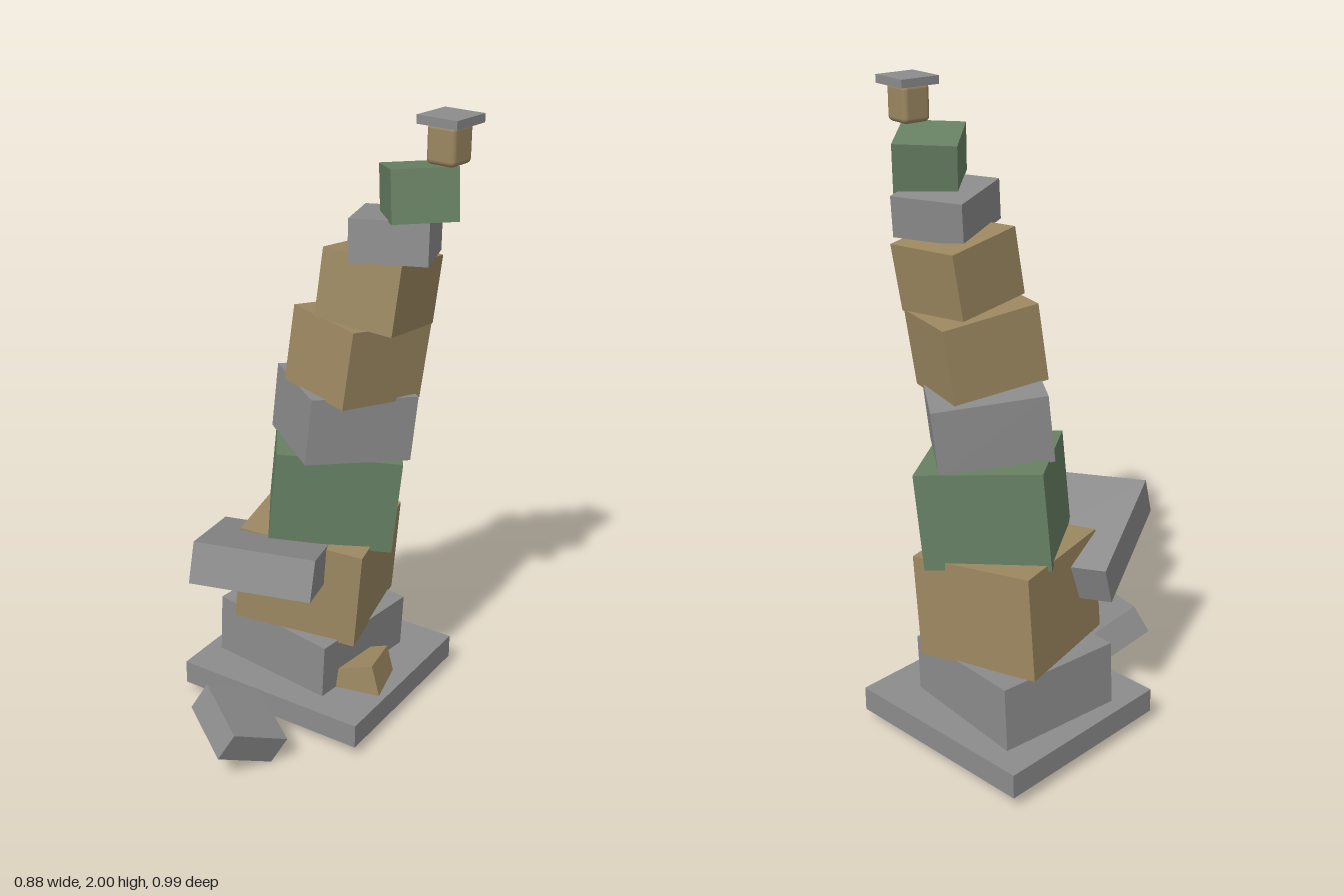
import * as THREE from 'three';
import { RoundedBoxGeometry } from 'three/addons/geometries/RoundedBoxGeometry.js';

const flat = (name, color) => {
  const m = new THREE.MeshStandardMaterial({ color });
  m.name = name;
  return m;
};

export function createModel() {
  const stone = flat('stone grey', 0x8c8c8c);
  const sand = flat('sandstone tan', 0x9c8861);
  const moss = flat('moss green', 0x678063);

  const model = new THREE.Group();
  model.name = 'leaningTower';

  // A box turned by Euler angles; the order says which turn comes last
  const block = (name, material, size, position, rotation = [0, 0, 0], order = 'ZXY') => {
    const mesh = new THREE.Mesh(new THREE.BoxGeometry(...size), material);
    mesh.name = name;
    mesh.position.set(...position);
    mesh.rotation.set(...rotation, order);
    model.add(mesh);
    return mesh;
  };

  // Foundation slab
  block('baseSlab', stone, [0.665, 0.08, 0.625], [-0.072, 0.08, -0.14], [0, 0.12, 0]);

  // Twisting stack: material, size, centre, [lean in z, twist, lean in x]
  const stack = [
    [stone, [0.445, 0.28, 0.42], [-0.108, 0.175, -0.14], [0, 0, -0.05]],
    [sand, [0.41, 0.33, 0.4], [-0.075, 0.475, -0.137], [-0.01, 0.34, -0.08]],
    [moss, [0.39, 0.31, 0.34], [-0.025, 0.775, -0.15], [-0.05, 0.7, -0.08]],
    [stone, [0.345, 0.21, 0.32], [0.02, 1.03, -0.14], [-0.09, 1.03, -0.05]],
    [sand, [0.31, 0.24, 0.275], [0.075, 1.245, -0.135], [-0.11, 1.37, -0.07]],
    [sand, [0.26, 0.21, 0.26], [0.142, 1.465, -0.147], [-0.14, 1.71, -0.04]],
    [stone, [0.25, 0.125, 0.23], [0.207, 1.635, -0.137], [-0.08, 2.04, 0.05]],
    [moss, [0.21, 0.15, 0.19], [0.28, 1.772, -0.14], [-0.09, 2.38, 0.12]],
  ];
  stack.forEach(([material, size, position, rotation], i) =>
    block('towerBlock' + (i + 1), material, size, position, rotation));

  // Lantern and its cap on the summit
  const lantern = new THREE.Mesh(new RoundedBoxGeometry(0.095, 0.115, 0.095, 2, 0.016), sand);
  lantern.name = 'lantern';
  lantern.position.set(0.372, 1.922, -0.147);
  model.add(lantern);
  block('lanternCap', stone, [0.133, 0.025, 0.133], [0.372, 1.9875, -0.149]);

  // Slab jutting from the tower, and rubble at its foot
  block('juttingSlab', stone, [0.375, 0.13, 0.425], [-0.073, 0.59, 0.128], [-0.3, 0.52, -0.07], 'YXZ');
  block('fallenBlock', stone, [0.218, 0.102, 0.212], [0.005, 0.12, 0.35], [-0.44, -0.275, -0.308], 'YXZ');
  block('sunkenRubble', sand, [0.14, 0.12, 0.16], [0.15, 0.135, -0.1], [0, 0.35, 0.3]);

  return model;
}
